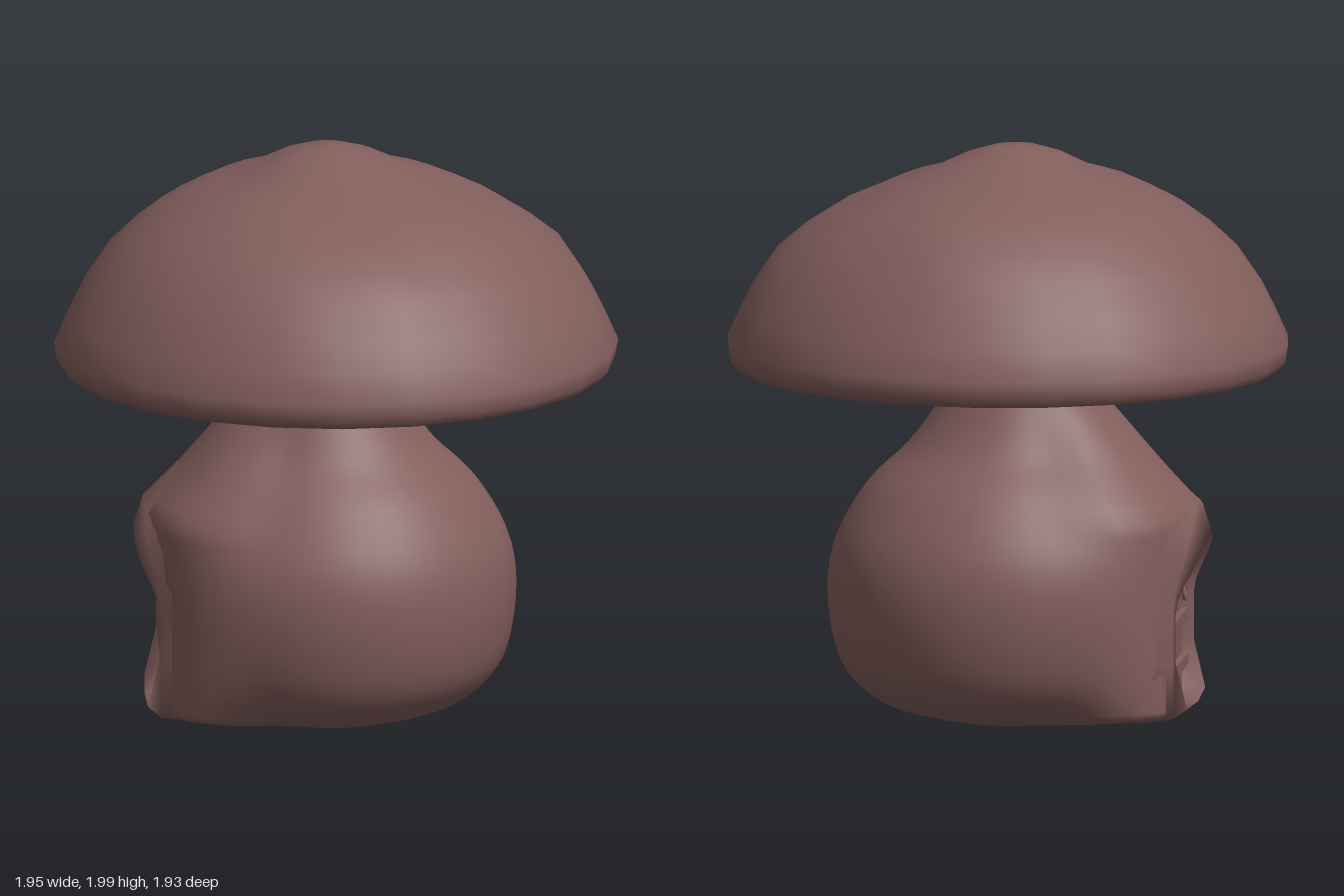
import * as THREE from 'three';

const { smoothstep, lerp } = THREE.MathUtils;
const V2 = (p) => new THREE.Vector2(p[0], p[1]);
const BODY = [[0.33, 0.012], [0.465, 0.055], [0.575, 0.18], [0.622, 0.4], [0.6, 0.61], [0.49, 0.81],
  [0.365, 0.95], [0.285, 1.09], [0.24, 1.2], [0.26, 1.265], [0.34, 1.305], [0.5, 1.312]];
const DOOR_Z = 0.04; // sideways centre of the doorway

// Radius of the round stem at a height
function bodyRadius(y) {
  for (let i = 1; i < BODY.length; i++) {
    const [r0, y0] = BODY[i - 1], [r1, y1] = BODY[i];
    if (y <= y1) return r0 + (r1 - r0) * Math.max(0, (y - y0) / (y1 - y0));
  }
  return 0.5;
}
// Radius swollen towards the door side; c is 1 straight towards the door
function swollen(r, y, c) {
  const full = y < 0.74 ? 0.665 * smoothstep(y, -0.04, 0.05) : lerp(0.665, 0.31, (y - 0.74) / 0.36);
  return lerp(r, Math.max(r, full), smoothstep(c, 0.4, 0.92));
}
const lean = (y) => -0.045 * smoothstep(y, 0.75, 1.2);

function deform(geo, rule) {
  const pos = geo.attributes.position, v = new THREE.Vector3();
  for (let i = 0; i < pos.count; i++) {
    rule(v.fromBufferAttribute(pos, i));
    pos.setXYZ(i, v.x, v.y, v.z);
  }
  geo.computeVertexNormals();
  return geo;
}

// Copies averaged normals across the lathe seam
function weldSeam(geo, rows, segments) {
  const n = geo.attributes.normal, a = new THREE.Vector3(), b = new THREE.Vector3();
  for (let j = 0; j < rows; j++) {
    const k = segments * rows + j;
    a.fromBufferAttribute(n, j).add(b.fromBufferAttribute(n, k)).normalize();
    n.setXYZ(j, a.x, a.y, a.z);
    n.setXYZ(k, a.x, a.y, a.z);
  }
  return geo;
}

// Closed arch outline as [z, y], counted from one bottom corner over the top
function arch(w, bottom, spring, top, steps = 16) {
  const pts = [[-w, bottom], [-w * 1.02, (bottom + spring) / 2]];
  for (let i = 0; i <= steps; i++) {
    const a = Math.PI * (1 - i / steps);
    pts.push([w * Math.cos(a), spring + (top - spring) * Math.sin(a)]);
  }
  pts.push([w * 1.02, (bottom + spring) / 2], [w, bottom], [0, bottom - 0.01]);
  return pts;
}

function loft(loops) {
  const n = loops[0].length, idx = [];
  for (let j = 0; j < loops.length - 1; j++)
    for (let i = 0; i < n; i++) {
      const a = j * n + i, b = j * n + (i + 1) % n;
      idx.push(a, b, a + n, b, b + n, a + n);
    }
  const geo = new THREE.BufferGeometry();
  geo.setAttribute('position', new THREE.Float32BufferAttribute(loops.flat(2), 3));
  geo.setIndex(idx);
  geo.computeVertexNormals();
  return geo;
}

export function createModel() {
  const model = new THREE.Group();
  const mat = new THREE.MeshStandardMaterial({ color: 0x825e5c, side: THREE.DoubleSide });
  const add = (geo, name, parent = model) => {
    const m = new THREE.Mesh(geo, mat);
    m.name = name;
    parent.add(m);
    return m;
  };

  // Bulbous hollow stem, open below, swollen around the door and pressed in behind it
  const bodyPts = new THREE.SplineCurve(BODY.map(V2)).getPoints(48);
  const body = deform(new THREE.LatheGeometry(bodyPts, 48), (v) => {
    const r = Math.hypot(v.x, v.z), k = swollen(r, v.y, -v.x / r) / r;
    v.x = v.x * k + lean(v.y);
    v.z *= k;
    const inArch = ((v.z - DOOR_Z) / 0.25) ** 2 + (Math.max(0, v.y - 0.4) / 0.27) ** 2 < 1;
    if (inArch) v.x = Math.max(v.x, -0.53);
    v.y += 0.04 * Math.max(0, v.x) * (1 - smoothstep(v.y, 0, 0.3));
  });
  add(weldSeam(body, bodyPts.length, 48), 'stem');

  // Cap: shallow hollow underside, thin rim, domed top with a soft peak
  const capPts = [[0.3, 1.335], [0.48, 1.313], [0.7, 1.265], [0.88, 1.225], [0.94, 1.22], [0.965, 1.25],
    [0.975, 1.31], [0.93, 1.41], [0.885, 1.5], [0.8, 1.625], [0.7, 1.715], [0.6, 1.785], [0.5, 1.835],
    [0.4, 1.88], [0.28, 1.915], [0.17, 1.968], [0.08, 1.995], [0, 2]].map(V2);
  // Small dents and bumps: x, z, radius, height
  const marks = [[0.5, 0, 0.1, -0.03], [0.45, 0.42, 0.09, 0.03], [-0.02, 0.5, 0.08, -0.03],
    [0.82, -0.14, 0.09, 0.025], [-0.25, 0.82, 0.08, 0.02], [-0.3, 0, 0.1, -0.015], [0.15, -0.69, 0.12, 0.035],
    [-0.82, 0.4, 0.08, -0.02]];
  const SEG = 24;
  const cap = deform(new THREE.LatheGeometry(capPts, SEG), (v) => {
    const peak = smoothstep(v.y, 1.6, 2);
    if (v.y > 1.4)
      for (const [x, z, r, h] of marks)
        v.y += h * Math.exp(-((v.x - x) ** 2 + (v.z - z) ** 2) / (r * r));
    v.x -= 0.03 * peak;
    v.z = v.z * 0.99 - 0.03 * peak;
  });
  add(weldSeam(cap, capPts.length, SEG), 'cap');

  // Doorway: a lip drawn out of the stem, with a hood above
  const doorway = new THREE.Group();
  doorway.name = 'doorway';
  doorway.position.z = DOOR_Z;
  model.add(doorway);
  const lipX = (y) => -0.615 - 0.085 * smoothstep(y, 0.4, 0.65) - 0.05 * (1 - smoothstep(y, 0.05, 0.12));
  const at = (pts, fx) => pts.map(([z, y]) => [fx(y, z), y, z]);
  const onStem = (y, z) => {
    const r0 = bodyRadius(y), zz = z + DOOR_Z;
    const r = swollen(r0, y, Math.sqrt(Math.max(0, 1 - (zz / Math.max(r0, 0.6)) ** 2)));
    return 0.012 + lean(y) - Math.sqrt(Math.max(0.01, r * r - zz * zz));
  };
  add(loft([
    at(arch(0.23, 0.07, 0.4, 0.63), () => -0.53),
    at(arch(0.25, 0.07, 0.4, 0.65), lipX),
    at(arch(0.285, 0.04, 0.42, 0.76), (y) => -0.61 - 0.055 * smoothstep(y, 0.4, 0.74)),
    at(arch(0.36, 0.035, 0.44, 0.92), onStem),
  ]), 'doorFrame');

  // Upright planks following the arch
  const door = new THREE.Group();
  door.name = 'door';
  doorway.add(door);
  const N = 6, W = 0.46 / N;
  const archTop = (z) => 0.4 + 0.23 * Math.sqrt(Math.max(0, 1 - (z / 0.235) ** 2));
  for (let i = 0; i < N; i++) {
    const z0 = -0.23 + i * W + 0.005, z1 = z0 + W - 0.01;
    const s = new THREE.Shape([[z0, 0.06], [z1, 0.06], [z1, archTop(z1)], [z0, archTop(z0)]].map(V2));
    const plank = add(new THREE.ExtrudeGeometry(s, { depth: 0.035, bevelEnabled: false }), 'plank', door);
    plank.rotation.y = -Math.PI / 2;
    plank.position.x = -0.54;
  }
  // Cross bands and ring handle
  for (const [y, w] of [[0.17, 0.46], [0.33, 0.46], [0.49, 0.42]]) {
    add(new THREE.BoxGeometry(0.025, 0.04, w), 'band', door).position.set(-0.585, y, 0);
  }
  const ring = add(new THREE.TorusGeometry(0.025, 0.007, 6, 14), 'ringHandle', door);
  ring.rotation.y = Math.PI / 2;
  ring.position.set(-0.59, 0.41, 0.16);

  return model;
}
